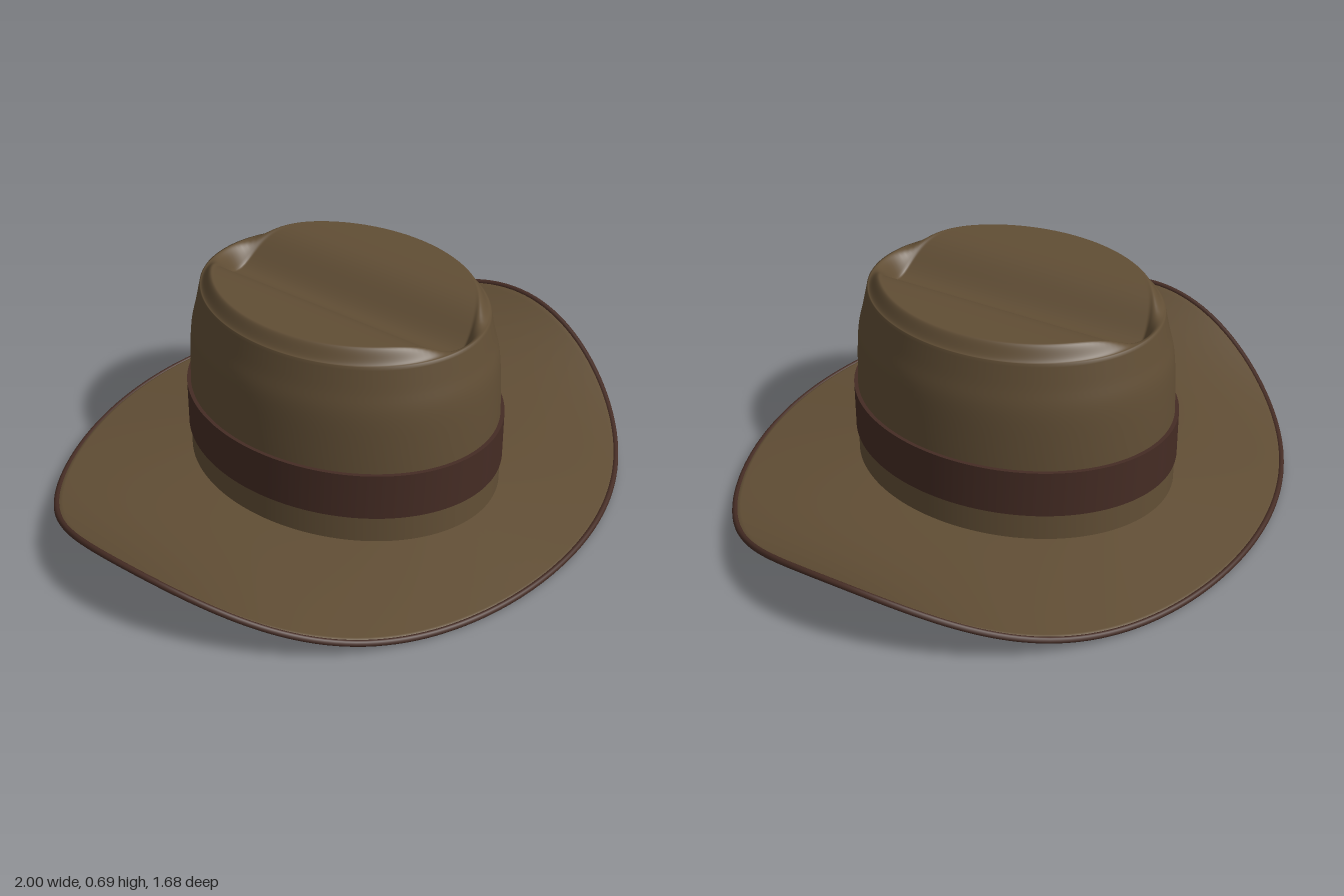
import * as THREE from 'three';

const SEG = 144;
const smooth = (t) => THREE.MathUtils.smoothstep(t, 0, 1);

// Closed-ring surface: point(angle, ring) returns [x, y, z] for every ring
function loft(rings, point) {
  const pos = [], idx = [];
  rings.forEach((ring) => {
    for (let i = 0; i < SEG; i++) pos.push(...point((i / SEG) * Math.PI * 2, ring));
  });
  for (let j = 0; j < rings.length - 1; j++) {
    for (let i = 0; i < SEG; i++) {
      const k = (i + 1) % SEG;
      const a = j * SEG + i, b = j * SEG + k, c = a + SEG, d = b + SEG;
      idx.push(a, c, b, b, c, d);
    }
  }
  const g = new THREE.BufferGeometry();
  g.setAttribute('position', new THREE.Float32BufferAttribute(pos, 3));
  g.setIndex(idx);
  g.computeVertexNormals();
  return g;
}

// Brim: droops at front and back, curls up at the sides (t = 0 at crown, 1 at edge)
function brimPoint(a, t, lift = 0) {
  const c5 = Math.abs(Math.cos(a)) ** 5;
  const rx = 0.425 + 0.567 * t, rz = 0.525 + 0.308 * t;
  const y = 0.05 - 0.04 * t * (1 - c5) + 0.162 * c5 * t ** 2.5;
  return [rx * Math.cos(a), y + lift, rz * Math.sin(a)];
}

// Pinched top of the crown: steep rounded shoulder and a lengthwise crease
function crownTopPoint(a, s) {
  const x = 0.388 * s * Math.cos(a), z = 0.475 * s * Math.sin(a);
  const shoulder = 0.046 * smooth((1 - s) / 0.09);
  const crease = 0.11 * Math.exp(-((x / 0.113) ** 2)) * smooth((1 - s) / 0.11);
  return [x, 0.645 + shoulder - crease, z];
}

export function createModel() {
  const felt = new THREE.MeshStandardMaterial({ color: 0x614e35, side: THREE.DoubleSide });
  felt.name = 'brown felt';
  const leather = new THREE.MeshStandardMaterial({ color: 0x452c24, side: THREE.DoubleSide });
  leather.name = 'dark brown ribbon';

  const hat = new THREE.Group();
  hat.name = 'hat';
  const add = (name, geometry, material) => {
    const m = new THREE.Mesh(geometry, material);
    m.name = name;
    hat.add(m);
  };

  // Brim: underside outwards, then upper side back in
  const brimRings = [];
  for (let i = 0; i <= 24; i++) brimRings.push([i / 24, -0.006]);
  for (let i = 24; i >= 0; i--) brimRings.push([i / 24, 0.006]);
  add('brim', loft(brimRings, (a, [t, lift]) => brimPoint(a, t, lift)), felt);

  // Bound edge around the brim
  const edge = [];
  for (let i = 0; i < 96; i++) edge.push(new THREE.Vector3(...brimPoint((i / 96) * Math.PI * 2, 1)));
  const edgeCurve = new THREE.CatmullRomCurve3(edge, true);
  add('brimBinding', new THREE.TubeGeometry(edgeCurve, 192, 0.0095, 10, true), leather);

  // Crown: side wall [height, scale], then the creased top as rings shrinking to the centre
  const wall = new THREE.SplineCurve([
    [0.044, 1], [0.2, 0.992], [0.36, 0.983], [0.49, 0.967], [0.57, 0.932], [0.645, 0.9],
  ].map(([y, s]) => new THREE.Vector2(s, y))).getPoints(24);
  const crownRings = wall.map((p) => ({ wall: p }));
  for (let i = 1; i <= 24; i++) crownRings.push({ top: 1 - 0.16 * (i / 24) });
  for (let i = 1; i <= 28; i++) crownRings.push({ top: Math.max(0.84 * (1 - i / 28), 0.0005) });
  add('crown', loft(crownRings, (a, r) => r.wall
    ? [0.43 * r.wall.x * Math.cos(a), r.wall.y, 0.53 * r.wall.x * Math.sin(a)]
    : crownTopPoint(a, r.top)), felt);

  // Ribbon around the crown, with separate rings for crisp edges
  const ribbon = (name, rings) => add(name, loft(rings, (a, [o, y]) =>
    [(0.43 + o) * Math.cos(a), y, (0.53 + o) * Math.sin(a)]), leather);
  ribbon('hatBand', [[0.006, 0.145], [0.006, 0.3]]);
  ribbon('hatBandTop', [[0.006, 0.3], [-0.012, 0.3]]);
  ribbon('hatBandBottom', [[-0.008, 0.145], [0.006, 0.145]]);

  return hat;
}
